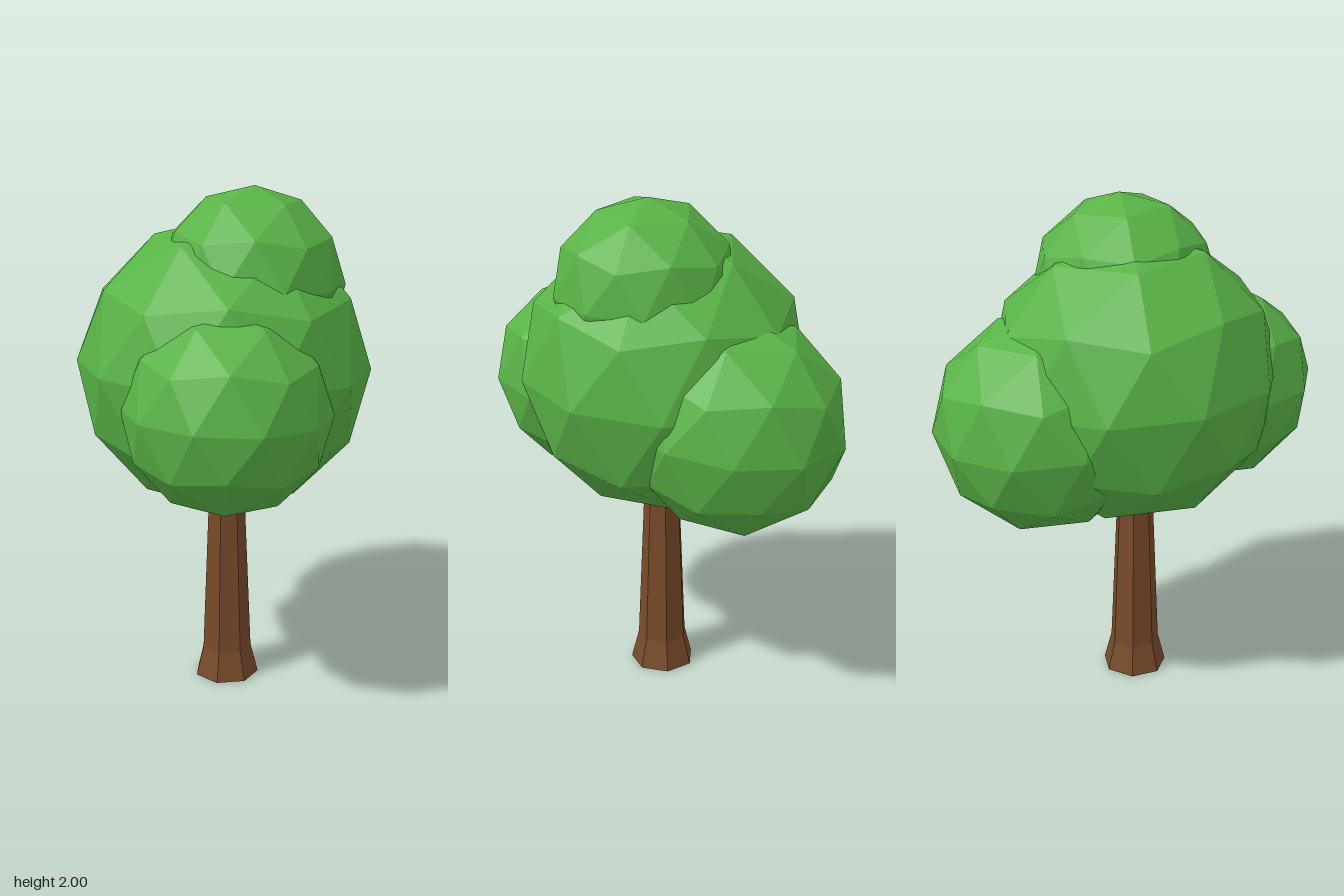
import * as THREE from 'three';

export function createModel() {
  const tree = new THREE.Group();
  tree.name = 'tree';
  const leafGreen = new THREE.MeshStandardMaterial({ color: 0x59b347, flatShading: true });
  leafGreen.name = 'leafGreen';
  const barkBrown = new THREE.MeshStandardMaterial({ color: 0x784a2a, flatShading: true });
  barkBrown.name = 'barkBrown';

  // Seven-sided trunk with a flared foot, closed below
  const profile = [[0, 0], [0.13, 0], [0.1, 0.12], [0.074, 0.76], [0.064, 1.0], [0, 1.0]]
    .map(([r, y]) => new THREE.Vector2(r, y));
  const trunk = new THREE.Mesh(
    new THREE.LatheGeometry(profile, 7, THREE.MathUtils.degToRad(-20)), barkBrown);
  trunk.name = 'trunk';
  trunk.position.set(-0.04, 0, 0.012);
  tree.add(trunk);

  // Faceted ball turned so that one corner points almost straight up
  const ball = new THREE.IcosahedronGeometry(1, 1);
  ball.rotateZ(Math.atan(2 / (1 + Math.sqrt(5))) - 0.06);

  // Foliage clumps: name, centre, radius, extra tilt about x and y
  const clumps = [
    ['mainFoliage', [-0.035, 1.305, 0], 0.573, [0, 0]],
    ['topFoliage', [0.015, 1.638, 0.09], 0.362, [0, 0]],
    ['rightFoliage', [-0.32, 1.22, 0.217], 0.396, [0, 0]],
    ['leftFoliage', [0.285, 1.165, -0.19], 0.428, [-0.07, -0.05]],
  ];
  for (const [name, centre, radius, [tiltX, tiltY]] of clumps) {
    const clump = new THREE.Mesh(ball, leafGreen);
    clump.name = name;
    clump.position.set(...centre);
    clump.rotation.set(tiltX, tiltY, 0);
    clump.scale.setScalar(radius);
    tree.add(clump);
  }
  return tree;
}
